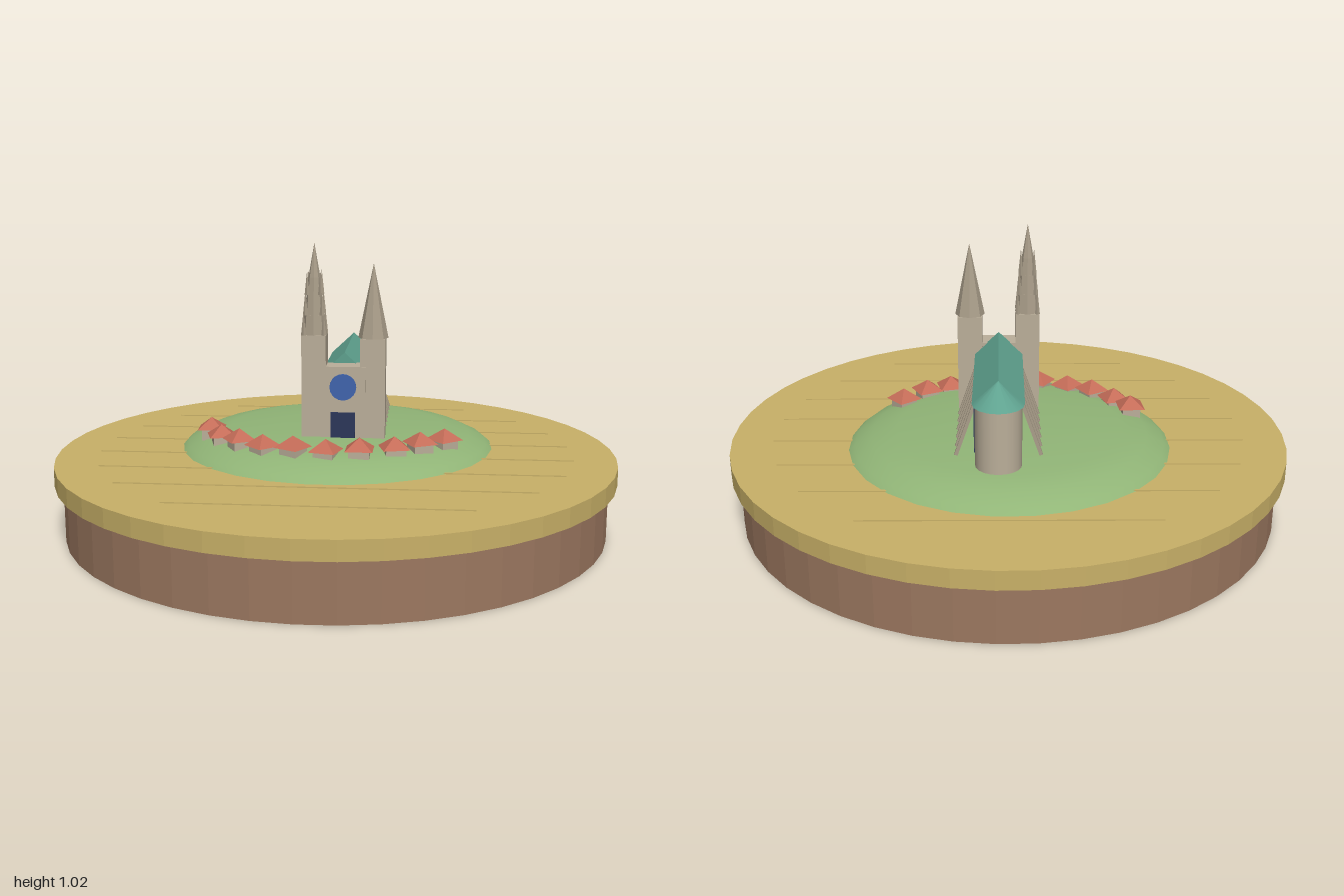
import * as THREE from 'three';

const mat = (name, color, extra = {}) => {
  const m = new THREE.MeshStandardMaterial({ color, ...extra });
  m.name = name;
  return m;
};

export function createModel() {
  const flat = { flatShading: true };
  const earth = mat('earth', 0x9c7860, flat);
  const field = mat('field', 0xc9b168, flat);
  const grass = mat('grass', 0x91b577);
  const stone = mat('stone', 0xbbaf9a);
  const spireStone = mat('spireStone', 0xaa9e8a, flat);
  const copper = mat('copper', 0x5fa28f);
  const tile = mat('tile', 0xc46c58, flat);
  const glass = mat('glass', 0x2d375a);
  const roseGlass = mat('roseGlass', 0x4165ae);

  const model = new THREE.Group();
  const add = (parent, name, geo, material, x = 0, y = 0, z = 0) => {
    const m = new THREE.Mesh(geo, material);
    m.name = name;
    m.position.set(x, y, z);
    parent.add(m);
    return m;
  };
  const box = (w, h, d) => new THREE.BoxGeometry(w, h, d);
  const TURN = -0.35; // the town and its fields share one heading

  // Round plinth
  add(model, 'earthBase', new THREE.CylinderGeometry(0.97, 0.97, 0.2, 48), earth, 0, 0.1, 0);
  add(model, 'fieldDisc', new THREE.CylinderGeometry(1, 1, 0.065, 48), field, 0, 0.2325, 0);

  // Low furrow ridges across the fields
  const furrows = new THREE.Group();
  furrows.name = 'furrows';
  furrows.rotation.y = TURN;
  model.add(furrows);
  for (let i = 0; i < 8; i++) {
    const z = -0.7 + i * 0.2;
    add(furrows, 'furrow', box(2 * Math.sqrt(0.7225 - z * z), 0.005, 0.008), field, 0, 0.2665, z);
  }

  // Hill
  const hillProfile = [[0.573, 0.264], [0.55, 0.283], [0.49, 0.311], [0.4, 0.33], [0.2, 0.341], [0, 0.344]];
  add(model, 'hill', new THREE.LatheGeometry(hillProfile.map(p => new THREE.Vector2(...p)), 28),
    grass, 0.033, 0, -0.1);

  // Cathedral, facade at +z, nave running to -z
  const church = new THREE.Group();
  church.name = 'cathedral';
  church.position.set(0.0075, 0, 0.08);
  church.rotation.y = TURN;
  model.add(church);
  const G = 0.335; // ground level

  add(church, 'naveWalls', box(0.155, 0.55 - G, 0.52), stone, 0, (0.55 + G) / 2, -0.26);
  add(church, 'apseWall', new THREE.CylinderGeometry(0.0775, 0.0775, 0.55 - G, 20), stone, 0, (0.55 + G) / 2, -0.52);
  add(church, 'apseRoof', new THREE.ConeGeometry(0.086, 0.08, 16), copper, 0, 0.59, -0.52);
  const gable = new THREE.Shape([[-0.086, 0.55], [0.086, 0.55], [0, 0.63]].map(p => new THREE.Vector2(...p)));
  add(church, 'naveRoof', new THREE.ExtrudeGeometry(gable, { depth: 0.49, bevelEnabled: false }),
    copper, 0, 0, -0.52);

  // West front
  add(church, 'facade', box(0.16, 0.592 - G, 0.09), stone, 0, (0.592 + G) / 2, 0.003);
  add(church, 'roseWindow', new THREE.CylinderGeometry(0.047, 0.047, 0.008, 20), roseGlass, 0, 0.52, 0.049)
    .rotation.x = Math.PI / 2;
  add(church, 'portal', box(0.085, 0.095, 0.008), glass, 0, 0.3825, 0.049);

  // Leaning buttresses on both sides
  const foot = new THREE.Vector2(0.142, 0.345), head = new THREE.Vector2(0.078, 0.53);
  const run = head.clone().sub(foot);
  for (let i = 0; i < 6; i++) {
    const z = -0.112 - i * 0.07;
    for (const side of [-1, 1]) {
      const b = add(church, 'buttress', box(0.012, run.length(), 0.012), spireStone,
        side * (foot.x + head.x) / 2, (foot.y + head.y) / 2, z);
      b.rotation.z = side * Math.atan2(-run.x, run.y);
    }
    add(church, 'naveWindow', box(0.006, 0.165, 0.034), glass, 0.0785, 0.443, z);
  }

  // Towers
  add(church, 'leftTower', box(0.088, 0.69 - G, 0.088), stone, 0.1035, (0.69 + G) / 2, 0);
  add(church, 'leftSpire', new THREE.ConeGeometry(0.053, 0.26, 8), spireStone, 0.1035, 0.82, 0);
  add(church, 'rightTower', box(0.086, 0.7 - G, 0.086), stone, -0.1035, (0.7 + G) / 2, 0);

  // Stepped spire with pinnacles at each stage
  const spire = new THREE.Group();
  spire.name = 'steppedSpire';
  spire.position.x = -0.1035;
  church.add(spire);
  const stages = [[0.7, 0.77, 0.044, 0.037], [0.77, 0.84, 0.035, 0.028], [0.84, 0.9, 0.027, 0.021]];
  for (const [y0, y1, r0, r1] of stages) {
    add(spire, 'spireStage', new THREE.CylinderGeometry(r1, r0, y1 - y0, 8), spireStone, 0, (y0 + y1) / 2, 0);
    for (let k = 0; k < 4; k++) {
      const a = Math.PI / 4 + k * Math.PI / 2, r = r0 + 0.006;
      add(spire, 'pinnacle', new THREE.ConeGeometry(0.009, 0.085, 4), spireStone,
        Math.cos(a) * r, y0 + 0.0425, Math.sin(a) * r);
    }
  }
  add(spire, 'spireTip', new THREE.ConeGeometry(0.021, 0.12, 8), spireStone, 0, 0.96, 0);

  // Arc of small houses with hipped roofs
  const sites = [[-0.435, -0.12], [-0.415, -0.02], [-0.37, 0.08], [-0.305, 0.165], [-0.215, 0.235],
    [-0.115, 0.29], [-0.005, 0.32], [0.12, 0.315], [0.22, 0.295], [0.325, 0.25]];
  sites.forEach(([x, z], i) => {
    const house = new THREE.Group();
    house.name = 'house';
    house.position.set(x, i % 2 ? 0 : 0.005, z);
    house.rotation.y = Math.atan2(x - 0.03, z + 0.13) - 0.3;
    model.add(house);
    add(house, 'houseWalls', box(0.07, 0.045, 0.065), stone, 0, 0.3225, 0);
    add(house, 'houseRoof', new THREE.ConeGeometry(0.066, 0.04, 4).rotateY(Math.PI / 4), tile, 0, 0.36, 0);
  });

  return model;
}
